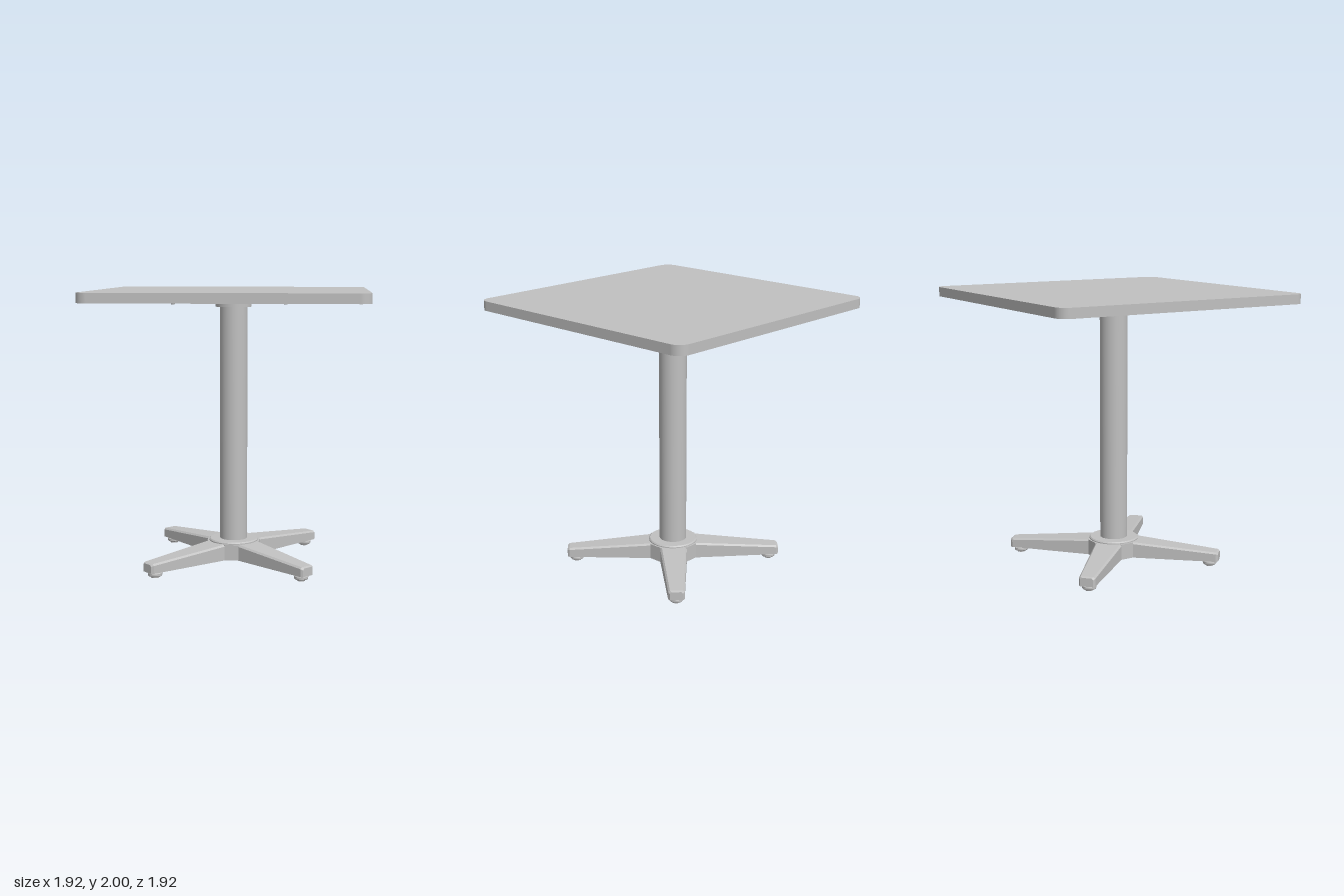
import * as THREE from 'three';

const metal = new THREE.MeshStandardMaterial({ color: 0xc0c0c0 });
metal.name = 'lightGrey';

function add(parent, name, geometry, x = 0, y = 0, z = 0) {
  const mesh = new THREE.Mesh(geometry, metal);
  mesh.name = name;
  mesh.position.set(x, y, z);
  parent.add(mesh);
  return mesh;
}

// Upright slab cut from a plan outline, from y = 0 up to the given height
function slab(shape, height) {
  const g = new THREE.ExtrudeGeometry(shape, { depth: height, bevelEnabled: false, curveSegments: 10 });
  return g.rotateX(-Math.PI / 2);
}

function roundedSquare(h, r) {
  const s = new THREE.Shape();
  s.absarc(h - r, h - r, r, 0, Math.PI / 2);
  s.absarc(r - h, h - r, r, Math.PI / 2, Math.PI);
  s.absarc(r - h, r - h, r, Math.PI, Math.PI * 1.5);
  s.absarc(h - r, r - h, r, Math.PI * 1.5, Math.PI * 2);
  return s;
}

function polygon(points) {
  return new THREE.Shape(points.map(([x, y]) => new THREE.Vector2(x, y)));
}

function lathe(points) {
  const g = new THREE.LatheGeometry(points.map(([x, y]) => new THREE.Vector2(x, y)), 40).toNonIndexed();
  g.computeVertexNormals();
  return g;
}

// Tapered leg along +x: chamfered cross-sections [x, halfWidth, topHeight]
function legGeometry() {
  const bottom = 0.045, c = 0.012;
  const rings = [[0.168, 0.099, 0.16], [0.778, 0.058, 0.113], [0.793, 0.046, 0.106]].map(([x, w, h]) => [
    [x, bottom, -w], [x, bottom, w], [x, h - c, w], [x, h, w - c], [x, h, c - w], [x, h - c, -w],
  ]);
  const pos = [];
  const tri = (a, b, d) => pos.push(...a, ...b, ...d);
  for (let i = 0; i < rings.length - 1; i++) {
    for (let j = 0; j < 6; j++) {
      const k = (j + 1) % 6;
      const a = rings[i][j], b = rings[i][k], d = rings[i + 1][k], e = rings[i + 1][j];
      tri(a, e, d);
      tri(a, d, b);
    }
  }
  const end = rings[rings.length - 1];
  for (let j = 1; j < 5; j++) tri(end[0], end[j + 1], end[j]);
  const g = new THREE.BufferGeometry();
  g.setAttribute('position', new THREE.Float32BufferAttribute(pos, 3));
  g.computeVertexNormals();
  return g;
}

export function createModel() {
  const model = new THREE.Group();
  model.name = 'pedestalTable';

  add(model, 'tableTop', slab(roundedSquare(0.96, 0.08), 0.068), 0, 1.932, 0);
  add(model, 'column', new THREE.CylinderGeometry(0.1, 0.1, 1.74, 48), 0, 1.04, 0);

  // Column head
  add(model, 'topCollar', new THREE.CylinderGeometry(0.13, 0.13, 0.038, 48), 0, 1.897, 0);
  add(model, 'mountingDisc', new THREE.CylinderGeometry(0.17, 0.17, 0.016, 48), 0, 1.924, 0);

  // Base hub with a rounded cover plate
  const a = 0.05, b = 0.19;
  add(model, 'baseHub', slab(polygon([
    [b, -a], [b, a], [a, b], [-a, b], [-b, a], [-b, -a], [-a, -b], [a, -b],
  ]), 0.115), 0, 0.045, 0);
  add(model, 'coverPlate', lathe([[0, 0.158], [0.18, 0.158], [0.18, 0.167], [0.172, 0.175], [0, 0.175]]));

  const leg = legGeometry();
  const foot = lathe([[0, 0], [0.028, 0], [0.03, 0.01], [0.045, 0.012], [0.05, 0.018],
    [0.05, 0.034], [0.045, 0.038], [0.028, 0.038], [0.028, 0.05]]);
  const arm = slab(polygon([[0.1, -0.06], [0.655, -0.048], [0.655, 0.048], [0.1, 0.06]]), 0.016);
  const screw = new THREE.CylinderGeometry(0.016, 0.012, 0.01, 16);

  // Diagonal legs below and support arms under the top
  for (let i = 0; i < 4; i++) {
    const quarter = new THREE.Group();
    quarter.name = 'quarter' + (i + 1);
    quarter.rotation.y = Math.PI / 4 + i * Math.PI / 2;
    add(quarter, 'leg', leg);
    add(quarter, 'foot', foot, 0.725, 0, 0);
    add(quarter, 'supportArm', arm, 0, 1.916, 0);
    for (const x of [0.27, 0.55]) add(quarter, 'screw', screw, x, 1.912, 0);
    model.add(quarter);
  }
  return model;
}
